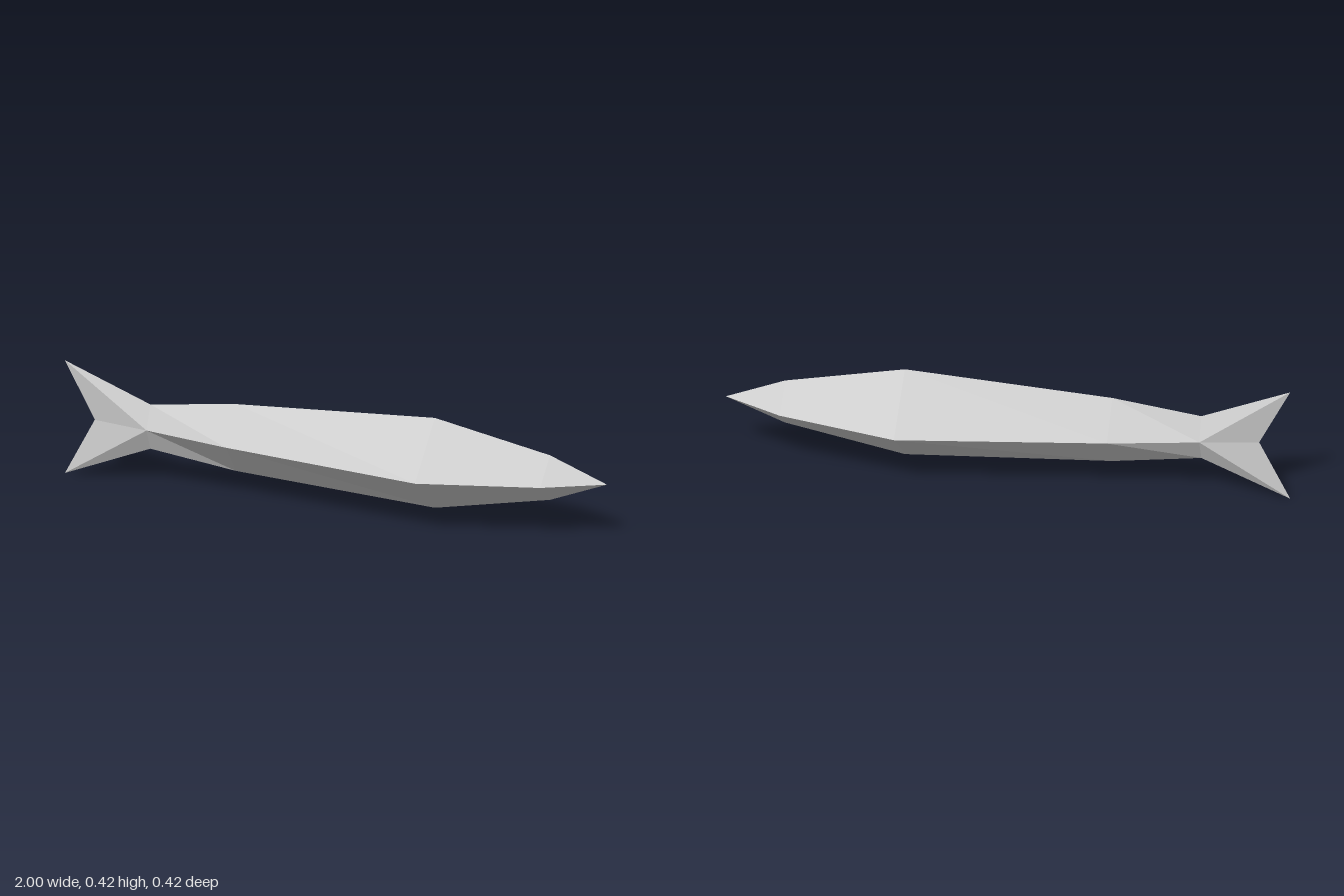
import * as THREE from 'three';

const AXIS = 0.208;

// Body stations from tail root to nose: [x, top y, bottom y, half width, side ridge y]
const STATIONS = [
  [-0.685, 0.295, 0.13, 0.04, 0.212],
  [-0.37, 0.336, 0.087, 0.105, 0.211],
  [0.365, 0.377, 0.042, 0.21, 0.207],
  [0.79, 0.291, 0.125, 0.105, 0.207],
  [1.0, AXIS, AXIS, 0, AXIS],
];

// Unindexed triangles give every facet its own flat normal
function facets(triangles) {
  const geometry = new THREE.BufferGeometry();
  geometry.setAttribute('position', new THREE.Float32BufferAttribute(triangles.flat(2), 3));
  geometry.computeVertexNormals();
  return geometry;
}

// Diamond cross-section: top, left side, bottom, right side
function ring([x, top, bottom, half, side]) {
  return [[x, top, 0], [x, side, half], [x, bottom, 0], [x, side, -half]];
}

// Faceted hull lofted through the diamond sections
function bodyGeometry() {
  const rings = STATIONS.map(ring);
  const triangles = [];
  for (let i = 0; i < rings.length - 1; i++) {
    for (let j = 0; j < 4; j++) {
      const k = (j + 1) % 4;
      const a = rings[i][j], b = rings[i + 1][j], c = rings[i + 1][k], d = rings[i][k];
      triangles.push([a, d, c]);
      if (i < rings.length - 2) triangles.push([a, c, b]); // the nose closes to a point
    }
  }
  return facets(triangles);
}

// One tail lobe, tapering from the body's end to a thin edge
function lobeGeometry(ridgeY, tipY, up) {
  const [x, , , half, side] = STATIONS[0];
  const ridge = [x, ridgeY, 0], tip = [-1, tipY, 0], notch = [-0.89, 0.212, 0];
  const triangles = [];
  for (const s of [1, -1]) {
    const root = [x, side, s * half];
    const pair = [[ridge, tip, root], [root, tip, notch]];
    for (const t of pair) triangles.push(s * up > 0 ? t : t.reverse());
  }
  return facets(triangles);
}

export function createModel() {
  const group = new THREE.Group();
  group.name = 'fish';
  const grey = new THREE.MeshStandardMaterial({ color: 0xcccccc });
  grey.name = 'light grey';

  const add = (name, geometry) => {
    const mesh = new THREE.Mesh(geometry, grey);
    mesh.name = name;
    group.add(mesh);
  };

  add('body', bodyGeometry());
  add('upperTailLobe', lobeGeometry(STATIONS[0][1], 0.42, 1));
  add('lowerTailLobe', lobeGeometry(STATIONS[0][2], 0, -1));
  return group;
}
